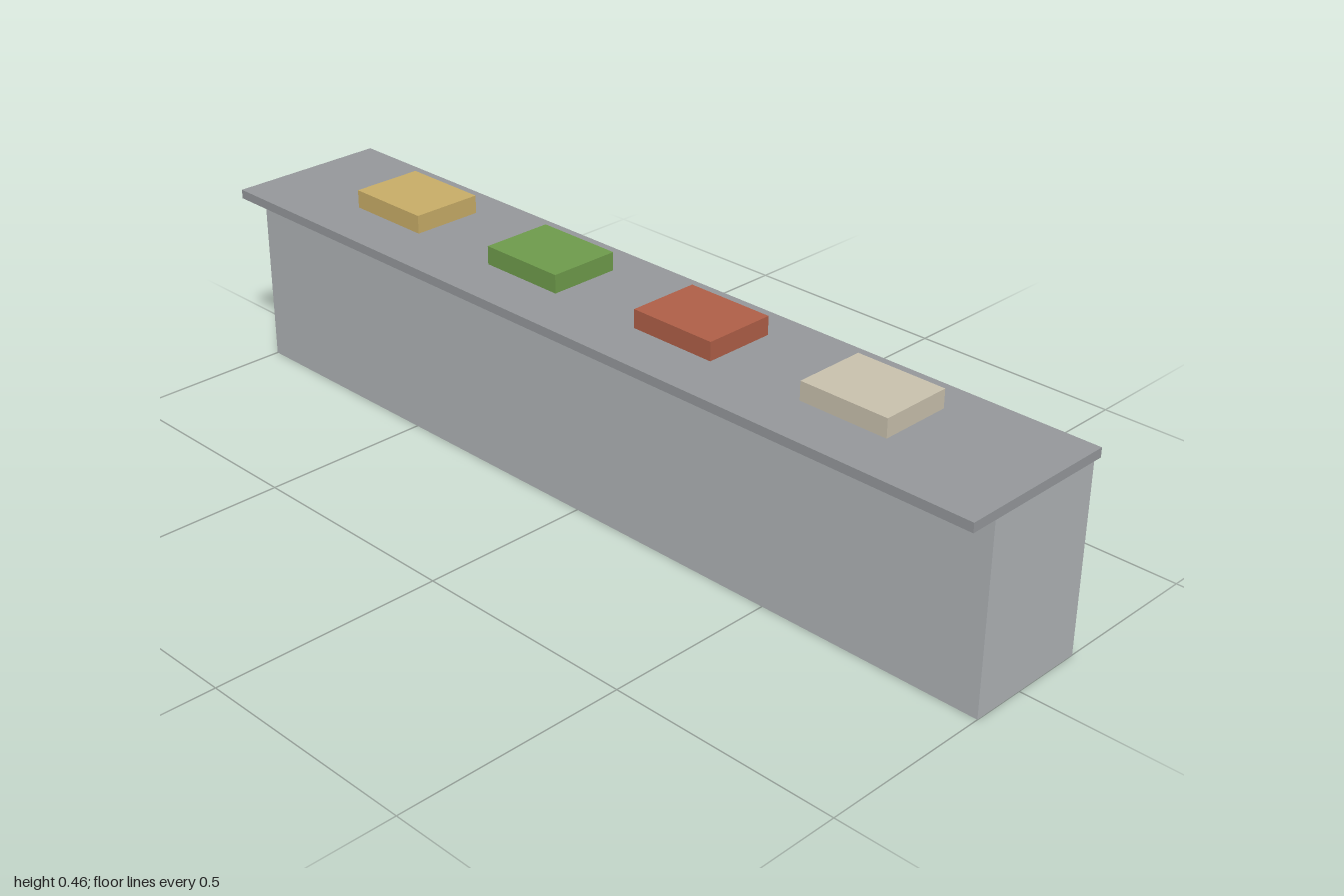
import * as THREE from 'three';

// Box standing on height y
function box(name, [w, h, d], [x, y, z], color) {
  const mesh = new THREE.Mesh(
    new THREE.BoxGeometry(w, h, d),
    new THREE.MeshStandardMaterial({ color })
  );
  mesh.name = name;
  mesh.position.set(x, y + h / 2, z);
  return mesh;
}

export function createModel() {
  const model = new THREE.Group();
  model.name = 'servingCounter';

  // Cabinet, set slightly back under the worktop
  model.add(box('cabinet', [2, 0.4, 0.28], [0, 0, -0.02], 0xb0b4b7));

  // Overhanging worktop
  model.add(box('worktop', [2, 0.02, 0.36], [0, 0.4, 0], 0x96999c));

  // Row of food trays
  const trays = new THREE.Group();
  trays.name = 'trays';
  [0xc9ae68, 0x6f9c4c, 0xb06048, 0xcac2ae].forEach((color, i) => {
    trays.add(box(`tray${i + 1}`, [0.2, 0.04, 0.16], [-0.64 + i * 0.42, 0.42, -0.02], color));
  });
  model.add(trays);

  return model;
}
